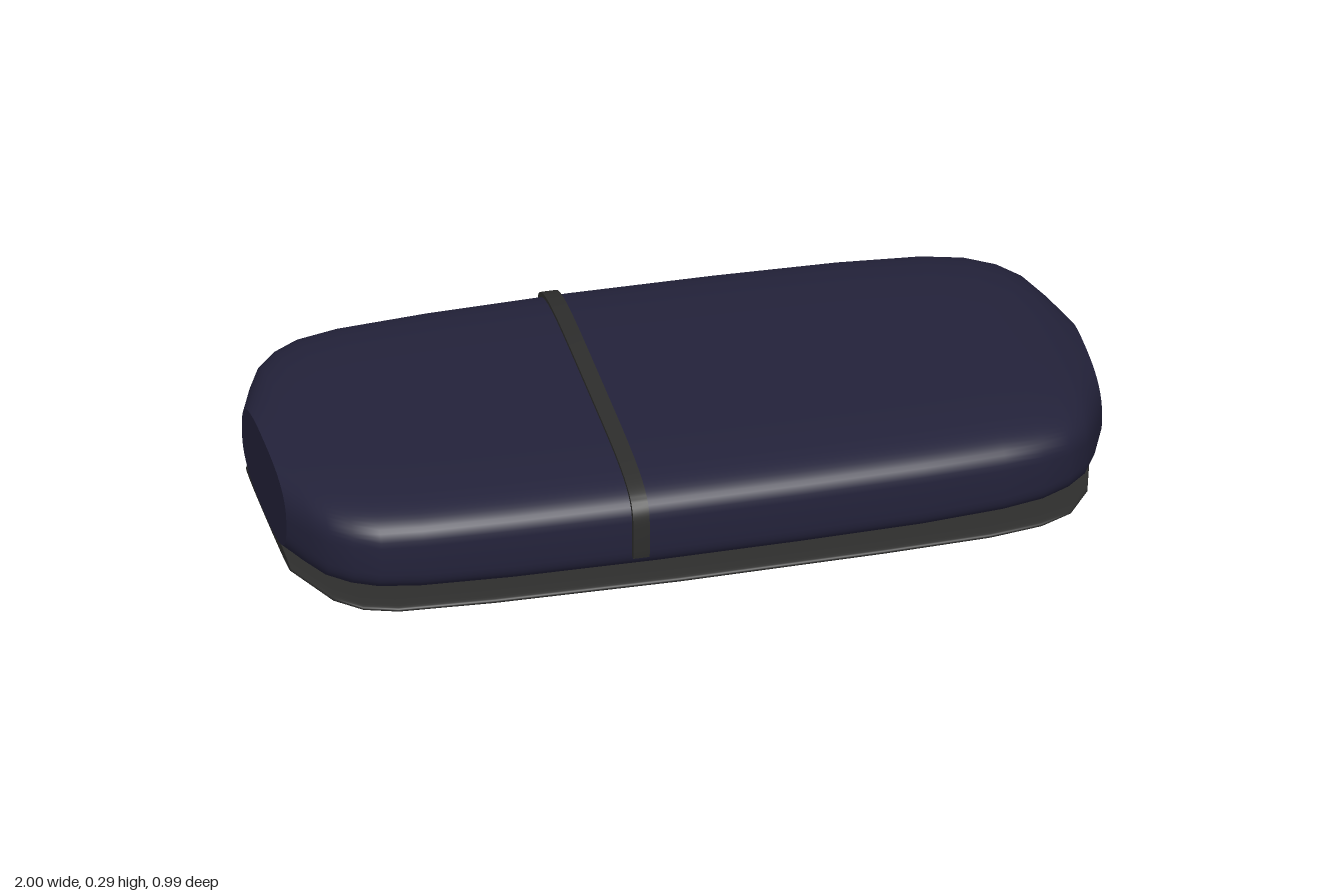
import * as THREE from 'three';
import { toCreasedNormals } from 'three/addons/utils/BufferGeometryUtils.js';

const SEG = 72;

// Point on a superellipse, returned as [y, z]; t = 0 is the top
function ringPoint(t, halfWidth, bottom, top, n) {
  const c = Math.cos(t), s = Math.sin(t);
  const y = Math.sign(c) * Math.abs(c) ** (2 / n);
  const z = Math.sign(s) * Math.abs(s) ** (2 / n);
  return [(top + bottom) / 2 + y * (top - bottom) / 2, z * halfWidth];
}

// Smooth skin along x through stations [x, halfWidth, bottom, top, exponent], with flat ends
function loft(stations) {
  const pos = [], index = [];
  const addRing = ([x, ...section]) => {
    const start = pos.length / 3;
    for (let j = 0; j < SEG; j++) {
      const [y, z] = ringPoint(j / SEG * Math.PI * 2, ...section);
      pos.push(x, y, z);
    }
    return start;
  };
  const rings = stations.map(addRing);
  for (let i = 0; i < rings.length - 1; i++) {
    for (let j = 0; j < SEG; j++) {
      const k = (j + 1) % SEG, a = rings[i], b = rings[i + 1];
      index.push(a + j, a + k, b + k, a + j, b + k, b + j);
    }
  }
  // end caps use their own vertices so the rim stays sharp
  [stations[0], stations[stations.length - 1]].forEach((s, end) => {
    const r = addRing(s), centre = pos.length / 3;
    pos.push(s[0], (s[2] + s[3]) / 2, 0);
    for (let j = 0; j < SEG; j++) {
      const k = (j + 1) % SEG;
      if (end) index.push(centre, r + j, r + k);
      else index.push(centre, r + k, r + j);
    }
  });
  const g = new THREE.BufferGeometry();
  g.setAttribute('position', new THREE.Float32BufferAttribute(pos, 3));
  g.setIndex(index);
  g.computeVertexNormals();
  return g;
}

// Strap that wraps over the top and ends part way down both sides
function strapGeometry(width) {
  const pts = [], steps = 64, reach = 1.72;
  const arc = (from, to, ...section) => {
    for (let i = 0; i <= steps; i++) {
      const [y, z] = ringPoint(from + (to - from) * i / steps, ...section);
      pts.push(new THREE.Vector2(z, y));
    }
  };
  arc(-reach, reach, 0.497, 0.025, 0.288, 4.4);
  arc(reach, -reach, 0.474, 0.035, 0.27, 4.4);
  const g = new THREE.ExtrudeGeometry(new THREE.Shape(pts), { depth: width, bevelEnabled: false });
  g.translate(0, 0, -width / 2);
  g.rotateY(Math.PI / 2);
  return toCreasedNormals(g, 0.7);
}

export function createModel() {
  const navy = new THREE.MeshStandardMaterial({ color: 0x23223a });
  navy.name = 'navy shell';
  const charcoal = new THREE.MeshStandardMaterial({ color: 0x2d2d2c });
  charcoal.name = 'charcoal trim';

  const model = new THREE.Group();
  model.name = 'case';
  const add = (name, geometry, material) => {
    const mesh = new THREE.Mesh(geometry, material);
    mesh.name = name;
    model.add(mesh);
    return mesh;
  };

  // pillow-like shell, cut flat at both ends
  add('shell', loft([
    [-1, 0.23, 0.038, 0.237, 2.8],
    [-0.965, 0.31, 0.036, 0.247, 3.2],
    [-0.93, 0.375, 0.034, 0.256, 3.6],
    [-0.88, 0.42, 0.033, 0.265, 3.9],
    [-0.82, 0.449, 0.032, 0.271, 4.1],
    [-0.72, 0.466, 0.031, 0.275, 4.3],
    [-0.5, 0.478, 0.03, 0.278, 4.4],
    [-0.15, 0.485, 0.03, 0.28, 4.4],
    [0.2, 0.482, 0.03, 0.279, 4.4],
    [0.5, 0.473, 0.03, 0.277, 4.4],
    [0.7, 0.458, 0.031, 0.275, 4.2],
    [0.8, 0.438, 0.032, 0.27, 4],
    [0.87, 0.405, 0.033, 0.263, 3.7],
    [0.92, 0.36, 0.034, 0.252, 3.4],
    [0.96, 0.285, 0.035, 0.236, 3],
    [1, 0.18, 0.036, 0.215, 2.7],
  ]), navy);

  // thin sole beneath the shell
  add('basePlate', loft([
    [-0.99, 0.23, 0.005, 0.031, 2.6],
    [-0.92, 0.38, 0.003, 0.032, 2.8],
    [-0.86, 0.435, 0.002, 0.033, 2.9],
    [-0.78, 0.461, 0.001, 0.034, 3],
    [-0.55, 0.476, 0, 0.035, 3],
    [-0.1, 0.485, 0, 0.035, 3],
    [0.4, 0.478, 0, 0.035, 3],
    [0.66, 0.468, 0.001, 0.034, 3],
    [0.79, 0.448, 0.002, 0.034, 2.9],
    [0.87, 0.41, 0.003, 0.033, 2.8],
    [0.93, 0.325, 0.004, 0.032, 2.7],
    [0.97, 0.18, 0.006, 0.031, 2.6],
  ]), charcoal);

  // strap across the shell
  add('strap', strapGeometry(0.04), charcoal).position.x = -0.197;

  return model;
}
